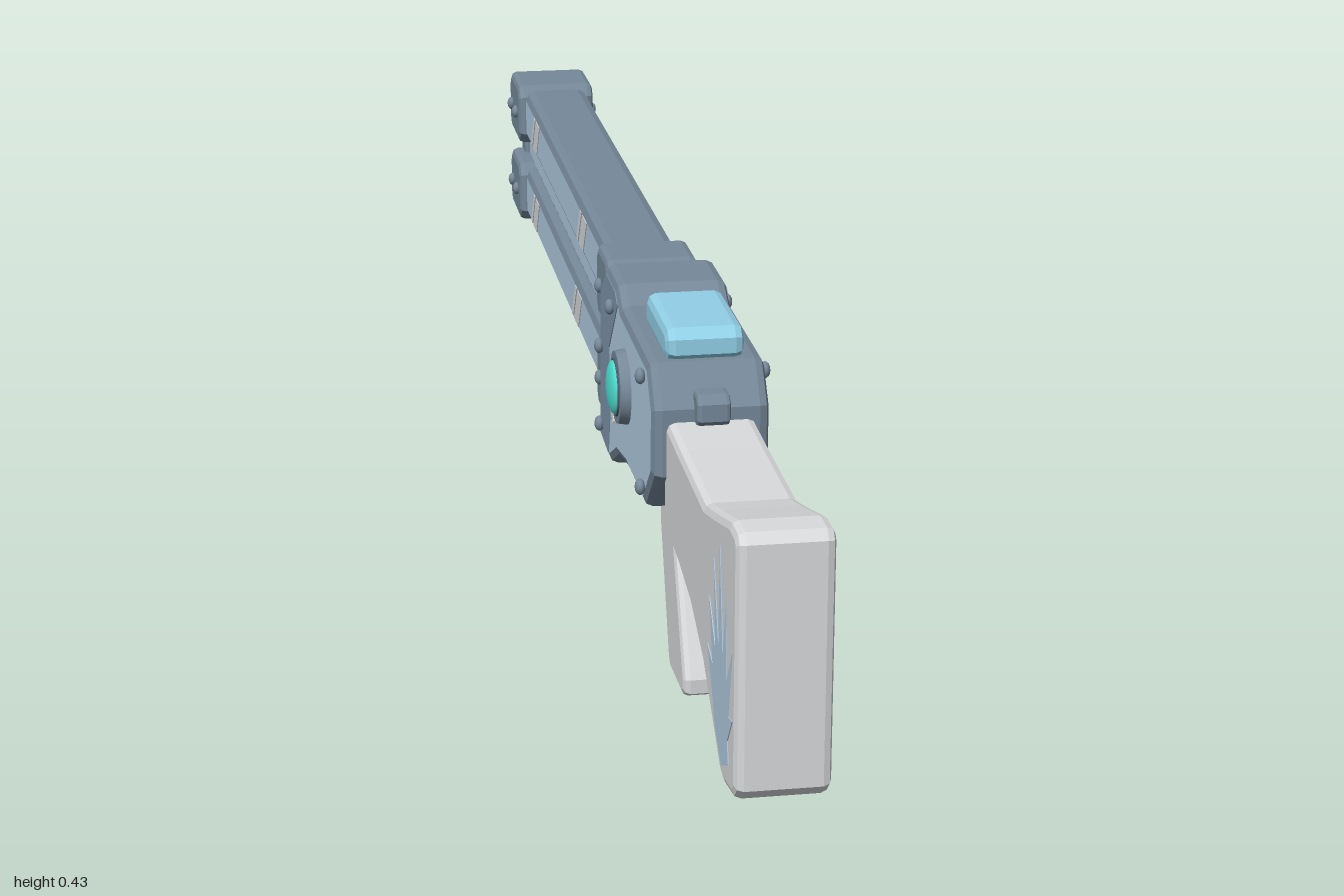
import * as THREE from 'three';

const mat = (name, color) => new THREE.MeshStandardMaterial({ name, color });

export function createModel() {
  const slate = mat('slate metal', 0x768899);
  const blue = mat('frost blue', 0xb2cce2);
  const mid = mat('steel blue', 0x7d93ab);
  const grey = mat('pale grey', 0xd8dadc);
  const cyan = mat('ice cyan', 0x96d6ee);
  const teal = mat('teal gem', 0x4cdccf);
  const dark = mat('dark rim', 0x4c5a68);

  const model = new THREE.Group();
  const add = (name, geometry, material, x = 0, y = 0, z = 0, parent = model) => {
    const m = new THREE.Mesh(geometry, material);
    m.name = name;
    m.position.set(x, y, z);
    parent.add(m);
    return m;
  };

  // Side profile of [z, y] points, extruded symmetrically across x with bevelled edges
  const slab = (pts, half, bevel = 0, hole) => {
    const shape = new THREE.Shape(pts.map(p => new THREE.Vector2(...p)));
    if (hole) shape.holes.push(new THREE.Path(hole.map(p => new THREE.Vector2(...p))));
    const g = new THREE.ExtrudeGeometry(shape, {
      depth: 2 * (half - bevel), bevelEnabled: bevel > 0, bevelSize: bevel,
      bevelThickness: bevel, bevelOffset: -bevel, bevelSegments: 2,
    });
    g.translate(0, 0, -(half - bevel));
    return g.rotateY(-Math.PI / 2);
  };
  // Rectangle with cut corners
  const rect = (z0, z1, y0, y1, c = 0) => c
    ? [[z0 + c, y0], [z1 - c, y0], [z1, y0 + c], [z1, y1 - c], [z1 - c, y1], [z0 + c, y1], [z0, y1 - c], [z0, y0 + c]]
    : [[z0, y0], [z1, y0], [z1, y1], [z0, y1]];
  // Thin painted plate on both sides
  const decal = (name, pts, material, x) => {
    for (const s of [-1, 1]) add(name, slab(pts, 0.0005), material, s * x);
  };

  // Shoulder stock and grip
  add('stock', slab([[0.53, 0.33], [0.64, 0.327], [0.8, 0.325], [0.86, 0.34], [0.955, 0.366], [0.99, 0.366], [1, 0.355],
    [1, 0.075], [0.985, 0.06], [0.93, 0.05], [0.91, 0.055], [0.8, 0.135], [0.72, 0.168], [0.64, 0.182], [0.53, 0.19]],
  0.053, 0.01), grey);
  add('grip', slab([[0.55, 0.25], [0.47, 0.25], [0.447, 0.19], [0.45, 0.165], [0.512, 0.014], [0.525, 0.003],
    [0.61, 0.007], [0.626, 0.016], [0.627, 0.034], [0.55, 0.18]], 0.044, 0.008), grey);

  // Frost burst painted on the stock
  decal('frostMark', [[0.925, 0.07], [0.965, 0.09], [0.958, 0.115], [0.985, 0.15], [0.96, 0.145], [0.98, 0.225],
    [0.95, 0.18], [0.947, 0.275], [0.927, 0.2], [0.906, 0.318], [0.902, 0.2], [0.87, 0.29], [0.884, 0.19],
    [0.845, 0.235], [0.868, 0.165], [0.835, 0.175], [0.865, 0.135], [0.885, 0.1]], blue, 0.0535);

  // Receiver with blue flanks and slate edges
  add('receiver', slab([[0.552, 0.345], [0.515, 0.392], [0.295, 0.392], [0.262, 0.411], [0.175, 0.411], [0.12, 0.372],
    [0.113, 0.155], [0.2, 0.15], [0.265, 0.183], [0.345, 0.197], [0.485, 0.2], [0.552, 0.262]], 0.07, 0.012), [blue, slate]);
  decal('receiverFrontPanel', [[0.278, 0.388], [0.258, 0.4], [0.18, 0.4], [0.132, 0.366], [0.127, 0.167], [0.195, 0.163],
    [0.212, 0.225], [0.205, 0.31]], mid, 0.0705);
  add('rearLatch', slab(rect(0.53, 0.572, 0.325, 0.366, 0.01), 0.02, 0.005), slate);
  add('topBlock', slab(rect(0.35, 0.512, 0.386, 0.429, 0.012), 0.047, 0.011), cyan);

  // Snowflake built from thin bars
  for (const s of [-1, 1]) {
    const flake = new THREE.Group();
    flake.name = 'snowflake';
    flake.position.set(s * 0.0715, 0.257, 0.24);
    for (let i = 0; i < 6; i++) {
      const arm = new THREE.Group();
      arm.name = 'snowflakeArm';
      arm.rotation.x = i * Math.PI / 3;
      add('snowflakeBar', new THREE.BoxGeometry(0.001, 0.036, 0.008), grey, 0, 0.018, 0, arm);
      for (const t of [-1, 1]) {
        const twig = new THREE.BoxGeometry(0.001, 0.014, 0.006).rotateX(t * 0.8);
        add('snowflakeTwig', twig, grey, 0, 0.028, t * 0.006, arm);
      }
      flake.add(arm);
    }
    model.add(flake);
  }

  // Gem in a stepped ring on each side
  for (const s of [-1, 1]) {
    const disc = (r, len) => new THREE.CylinderGeometry(r * 0.94, r, len, 28).rotateZ(-s * Math.PI / 2);
    add('gemRing', disc(0.048, 0.016), slate, s * 0.075, 0.304, 0.343);
    add('gemRim', disc(0.038, 0.004), dark, s * 0.083, 0.304, 0.343);
    const dome = new THREE.SphereGeometry(0.034, 24, 8, 0, Math.PI * 2, 0, Math.PI / 2);
    add('gem', dome.scale(1, 0.28, 1).rotateZ(-s * Math.PI / 2), teal, s * 0.0845, 0.304, 0.343);
  }

  // Trigger and guard
  add('triggerGuard', slab([[0.455, 0.205], [0.45, 0.155], [0.44, 0.14], [0.425, 0.134], [0.372, 0.134], [0.355, 0.142],
    [0.343, 0.16], [0.337, 0.205]], 0.016, 0.003, [[0.438, 0.2], [0.436, 0.162], [0.43, 0.151], [0.42, 0.147],
    [0.376, 0.147], [0.364, 0.153], [0.356, 0.165], [0.351, 0.2]]), slate);
  add('trigger', slab([[0.425, 0.21], [0.417, 0.18], [0.42, 0.164], [0.413, 0.162], [0.405, 0.178], [0.407, 0.21]], 0.008), slate);

  // Twin barrels, centre rail and clamps
  const rows = [['upper', 0.304, 0.384, 0.345, [-0.155, -0.69]], ['lower', 0.176, 0.257, 0.217, [-0.21, -0.7]]];
  for (const [label, y0, y1, yc, glints] of rows) {
    add(label + 'Barrel', slab(rect(-0.97, 0.12, y0, y1), 0.049, 0.014), [blue, slate]);
    add(label + 'MuzzleClamp', slab(rect(-1, -0.87, yc - 0.047, yc + 0.047, 0.017), 0.06, 0.009), slate);
    add(label + 'RearClamp', slab(rect(0.01, 0.118, yc - 0.049, yc + 0.049, 0.017), 0.06, 0.009), slate);
    // Slanted glints
    for (const z of glints) for (const [o, w] of [[0, 0.044], [-0.053, 0.017]]) {
      decal('glint', [[z + o, y1 - 0.014], [z + o - w, y1 - 0.014], [z + o - w - 0.038, y0 + 0.014],
        [z + o - 0.038, y0 + 0.014]], grey, 0.0495);
    }
  }
  add('centreRail', slab(rect(-0.96, 0.12, 0.255, 0.307), 0.034, 0.006), [blue, slate]);
  add('muzzleSpacer', slab(rect(-0.995, -0.95, 0.25, 0.31), 0.042, 0.005), slate);
  add('rearSpacer', slab(rect(0.02, 0.12, 0.25, 0.31), 0.045, 0.005), slate);

  // Rivets: z, y, centre x
  const rivets = [[0.49, 0.368, 0.075], [0.49, 0.228, 0.075], [0.24, 0.375, 0.075], [0.143, 0.292, 0.075], [0.143, 0.185, 0.075]];
  for (const y of [0.345, 0.217]) for (const z of [0.052, -0.905, -0.963]) rivets.push([z, y, 0.062]);
  for (const [z, y, x] of rivets) for (const s of [-1, 1]) {
    add('rivet', new THREE.SphereGeometry(0.01, 12, 8).scale(0.65, 1, 1), slate, s * x, y, z);
  }
  return model;
}
